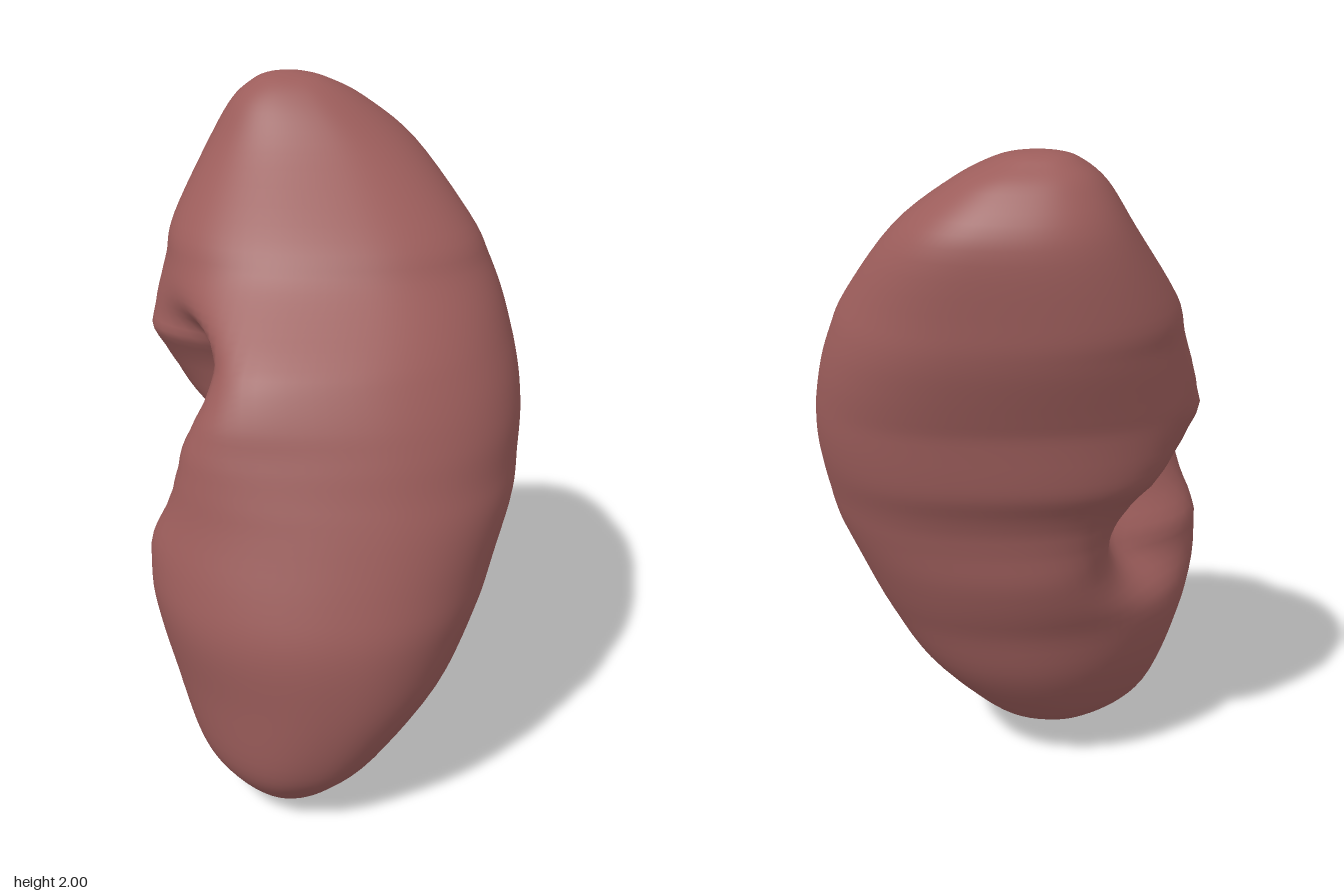
import * as THREE from 'three';

// Horizontal cross-sections from the lower pole to the upper pole:
// height, x min, x max, z min, z max, depth of the notch
const ROWS = [
  [0, 0.12, 0.12, 0.3, 0.3, 0],
  [0.006, 0.07, 0.18, 0.245, 0.36, 0],
  [0.025, 0.02, 0.24, 0.17, 0.415, 0],
  [0.1, -0.085, 0.335, 0.03, 0.5, 0],
  [0.2, -0.19, 0.425, -0.1, 0.555, 0],
  [0.4, -0.3, 0.53, -0.28, 0.585, 0],
  [0.6, -0.355, 0.575, -0.39, 0.615, 0.03],
  [0.75, -0.37, 0.58, -0.46, 0.6, 0.32],
  [0.9, -0.39, 0.575, -0.52, 0.56, 0.47],
  [1.0, -0.43, 0.555, -0.55, 0.54, 0.5],
  [1.1, -0.5, 0.535, -0.58, 0.515, 0.54],
  [1.2, -0.53, 0.5, -0.6, 0.475, 0.56],
  [1.3, -0.55, 0.45, -0.61, 0.415, 0.42],
  [1.4, -0.565, 0.39, -0.615, 0.345, 0.15],
  [1.5, -0.578, 0.32, -0.61, 0.275, 0.03],
  [1.6, -0.585, 0.25, -0.59, 0.22, 0],
  [1.8, -0.55, 0.03, -0.53, 0.05, 0],
  [1.92, -0.485, -0.12, -0.41, -0.035, 0],
  [1.975, -0.425, -0.21, -0.31, -0.1, 0],
  [1.994, -0.385, -0.28, -0.255, -0.15, 0],
  [2, -0.335, -0.335, -0.2, -0.2, 0],
];
const SEGMENTS = 80;
const RINGS = 100;

// Smooth curves through the table columns, sharing one uniform parameter
const columns = (a, b, c) => new THREE.CatmullRomCurve3(
  ROWS.map((r) => new THREE.Vector3(r[a], r[b], r[c])), false, 'catmullrom', 0.5);

// Rounded outline in its own axes, drawn out on the notch side and pinched
// by a notch that slants across the body, as [x, z] points
function outline(height, notch) {
  const ratio = Math.min(1.1, 0.65 + 0.35 * height);
  const slant = THREE.MathUtils.clamp((1.08 - height) * 1.4, -0.3, 0.4);
  const points = [];
  for (let k = 0; k < SEGMENTS; k++) {
    const angle = (k / SEGMENTS) * Math.PI * 2;
    const c = Math.cos(angle), s = Math.sin(angle);
    let radius = (Math.abs(c / ratio) ** 2.3 + Math.abs(s) ** 2.3) ** (-1 / 2.3);
    const away = Math.atan2(s, c) - slant; // zero points into the notch
    radius *= 1 + 0.34 * Math.max(0, c) ** 3;
    radius *= 1 - notch * Math.exp(-((away / 0.38) ** 2));
    const h = c * radius, t = -s * radius;
    points.push([(t - h) * Math.SQRT1_2, (t + h) * Math.SQRT1_2]);
  }
  return points;
}

// Set one coordinate of the outline to a given range
function fit(points, axis, min, max) {
  const values = points.map((p) => p[axis]);
  const lo = Math.min(...values), hi = Math.max(...values);
  return values.map((v) => min + ((v - lo) / (hi - lo)) * (max - min));
}

function bodyGeometry() {
  const spanX = columns(0, 1, 2);
  const spanZ = columns(3, 4, 5);
  const positions = [], index = [];
  for (let j = 0; j <= RINGS; j++) {
    const a = spanX.getPoint(j / RINGS);
    const b = spanZ.getPoint(j / RINGS);
    const y = THREE.MathUtils.clamp(a.x, 0, 2);
    const points = outline(y, Math.max(0, b.z));
    const xs = fit(points, 0, a.y, a.z);
    const zs = fit(points, 1, b.x, b.y);
    for (let k = 0; k < SEGMENTS; k++) {
      positions.push(xs[k], y, zs[k]);
      if (j === RINGS) continue;
      const p = j * SEGMENTS + k, q = j * SEGMENTS + (k + 1) % SEGMENTS;
      index.push(p, p + SEGMENTS, q, q, p + SEGMENTS, q + SEGMENTS);
    }
  }
  const geometry = new THREE.BufferGeometry();
  geometry.setAttribute('position', new THREE.Float32BufferAttribute(positions, 3));
  geometry.setIndex(index);
  geometry.computeVertexNormals();
  return geometry;
}

export function createModel() {
  const model = new THREE.Group();
  model.name = 'kidney';
  // Bean-shaped body with the notch on one side
  const body = new THREE.Mesh(bodyGeometry(), new THREE.MeshStandardMaterial({ color: 0x9c5d5b }));
  body.name = 'kidneyBody';
  model.add(body);
  return model;
}
